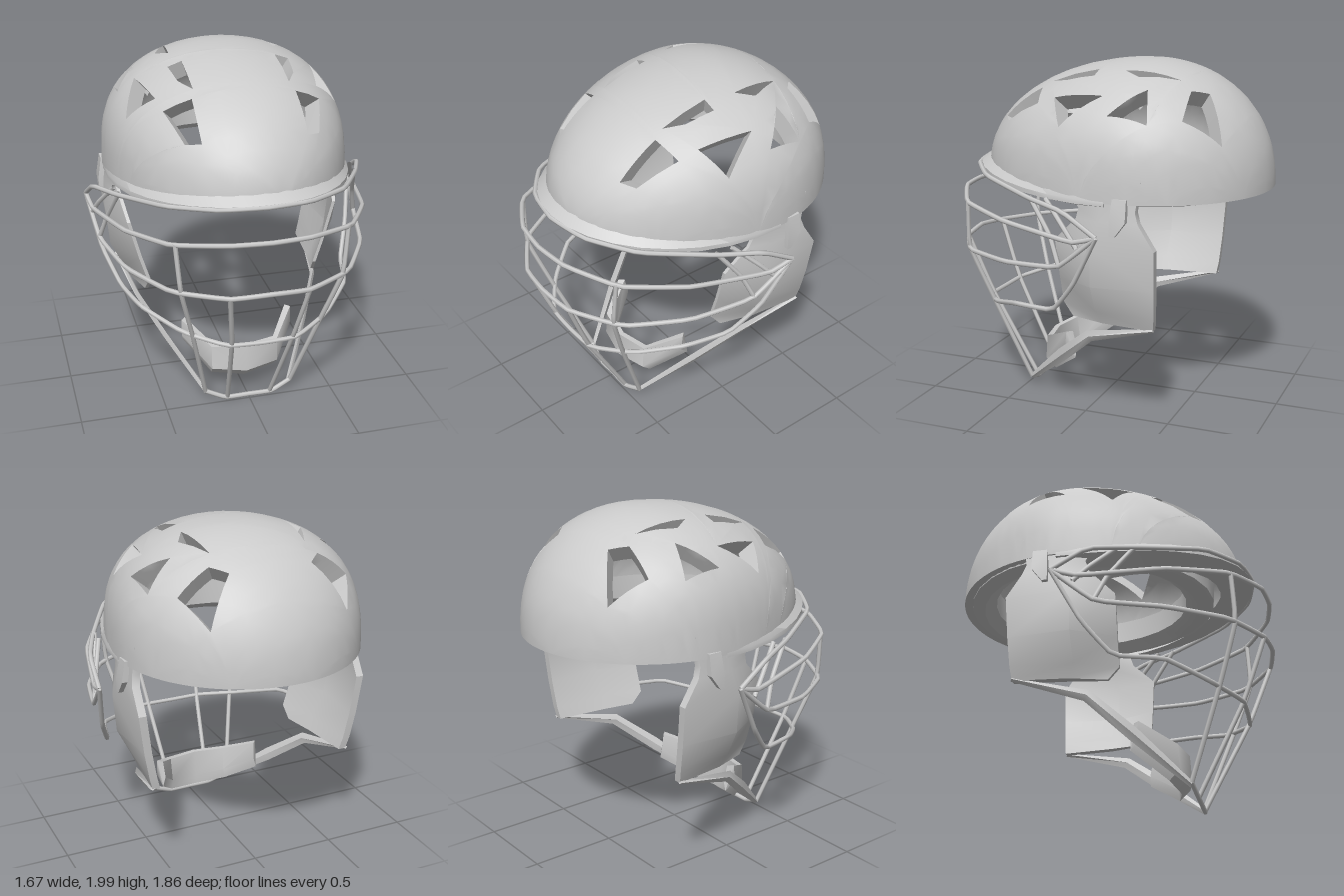
import * as THREE from 'three';
import { toCreasedNormals } from 'three/addons/utils/BufferGeometryUtils.js';

const grey = new THREE.MeshStandardMaterial({ color: 0xcccccc, side: THREE.DoubleSide });
const ZC = -0.2, HALF_W = 0.71, FRONT = 0.97, BACK = 0.73, DEPTH = 0.1;

function mesh(geometry, name, crease) {
  const m = new THREE.Mesh(toCreasedNormals(geometry, crease), grey);
  m.name = name;
  return m;
}

// Skin through closed cross-sections of equal length, with flat end caps
function loft(rows, name, crease, ring = false) {
  const n = rows[0].length, pos = rows.flat(2), index = [];
  const last = ring ? rows.length : rows.length - 1;
  for (let i = 0; i < last; i++) {
    const a = i * n, b = ((i + 1) % rows.length) * n;
    for (let j = 0; j < n; j++) {
      const k = (j + 1) % n;
      index.push(a + j, b + j, b + k, a + j, b + k, a + k);
    }
  }
  if (!ring) {
    const e = last * n;
    for (let j = 1; j < n - 1; j++) index.push(0, j, j + 1, e, e + j + 1, e + j);
  }
  const g = new THREE.BufferGeometry();
  g.setAttribute('position', new THREE.Float32BufferAttribute(pos, 3));
  g.setIndex(index);
  return mesh(g, name, crease);
}

// Split the longest edge of each triangle until all are short
function subdivide(geometry, max) {
  const p = geometry.attributes.position, out = [], stack = [];
  const v = (i) => new THREE.Vector3().fromBufferAttribute(p, i);
  for (let i = 0; i < p.count; i += 3) stack.push([v(i), v(i + 1), v(i + 2)]);
  while (stack.length) {
    const t = stack.pop();
    const len = t.map((q, i) => q.distanceTo(t[(i + 1) % 3]));
    const k = len.indexOf(Math.max(...len));
    if (len[k] <= max) { out.push(...t); continue; }
    const a = t[k], b = t[(k + 1) % 3], c = t[(k + 2) % 3];
    const m = a.clone().add(b).multiplyScalar(0.5);
    stack.push([a, m, c], [m, b, c]);
  }
  return out;
}

const rimY = (c) => 1.29 + 0.09 * Math.max(0, c) ** 2;

// Wrap a flat disk point (radius 1 = rim) onto the dome: full at the sides, sloping at front and back
function wrap(p) {
  const r = Math.min(1, Math.hypot(p.x, p.y)), d = p.z / DEPTH;
  const s = r ? p.x / r : 0, c = r ? p.y / r : 0;
  const e = Math.sin(r * Math.PI / 2) * (1 - 0.13 * d);
  const rim = rimY(c), power = 0.68 + (c > 0 ? 0.34 : 0.24) * c * c;
  const h = Math.max(0, Math.cos(r * Math.PI / 2)) ** power;
  return new THREE.Vector3(HALF_W * e * s, rim + (2 - 0.1 * d - rim) * h,
    ZC + e * c * (c > 0 ? FRONT : BACK));
}

// Inverse of the wrap, from plan position to disk
function toDisk([x, z], side) {
  const u = x / HALF_W, w = (z - ZC) / (z > ZC ? FRONT : BACK), e = Math.hypot(u, w);
  const t = Math.asin(Math.min(0.99, e)) * 2 / Math.PI;
  return new THREE.Vector2(side * t * u / e, t * w / e);
}

// Vent outlines in plan (x, z), mirrored to both sides
const vents = [
  [[0.24, -0.63], [0.40, -0.75], [0.5, -0.56], [0.32, -0.55]],
  [[0.28, -0.48], [0.37, -0.27], [0.31, -0.17]],
  [[0.45, -0.35], [0.6, -0.4], [0.61, -0.18]],
  [[0.27, 0], [0.35, 0], [0.33, 0.17], [0.27, 0.28]],
  [[0.52, -0.12], [0.61, 0.1], [0.46, 0.19]],
  [[0.29, 0.34], [0.44, 0.3], [0.37, 0.52], [0.29, 0.57]],
];

function shell() {
  const disk = new THREE.Shape().absarc(0, 0, 1, 0, Math.PI * 2);
  for (const side of [-1, 1]) {
    for (const v of vents) disk.holes.push(new THREE.Path(v.map((p) => toDisk(p, side))));
  }
  const flat = new THREE.ExtrudeGeometry(disk, { depth: DEPTH, bevelEnabled: false, curveSegments: 40 });
  const g = new THREE.BufferGeometry().setFromPoints(subdivide(flat, 0.11).map(wrap));
  return mesh(g, 'helmetShell', 0.9);
}

// Broad padded band inside the rim
function liner() {
  const rows = [];
  for (let i = 0; i < 28; i++) {
    const a = i / 28 * Math.PI * 2, s = Math.sin(a), c = Math.cos(a);
    const at = (k, y) => [0.68 * k * s, y, ZC + c * k * (c > 0 ? 0.8 : 0.69)];
    rows.push([at(1, 1.4), at(0.99, 1.285), at(0.88, 1.26), at(0.78, 1.31), at(0.78, 1.45)]);
  }
  return loft(rows, 'linerPad', 0.9, true);
}

// Lip along the front half of the rim
function brim() {
  const rows = [];
  for (let i = 0; i <= 18; i++) {
    const a = (i / 18 - 0.5) * Math.PI, s = Math.sin(a), c = Math.cos(a);
    const k = 1 + 0.06 * Math.max(0, c), y = rimY(c);
    const at = (f, h) => [HALF_W * f * s, y + h, ZC + FRONT * f * c];
    rows.push([at(0.97, 0.07), at(k, 0.01), at(k, -0.015), at(0.86, -0.05)]);
  }
  return loft(rows, 'brim', 0.6);
}

// Bent plate over each ear, columns front / middle / back
function earGuard(side) {
  const levels = [ // y, front z, back z, front x, middle x, back x
    [1.42, 0.08, -0.4, 0.67, 0.695, 0.68],
    [1.25, -0.04, -0.37, 0.67, 0.7, 0.69],
    [1.19, -0.02, -0.39, 0.66, 0.71, 0.70],
    [1.05, 0.12, -0.48, 0.63, 0.72, 0.70],
    [0.82, 0.12, -0.47, 0.57, 0.70, 0.67],
    [0.66, 0.12, -0.46, 0.52, 0.62, 0.64],
    [0.585, 0.06, -0.45, 0.53, 0.59, 0.62],
  ];
  const rows = levels.map(([y, zf, zb, xf, xm, xb]) => {
    const zm = zf * 0.6 + zb * 0.4, t = 0.045;
    return [[xf, zf], [xm, zm], [xb, zb], [xb - t, zb], [xm - t, zm], [xf - 0.02, zf]]
      .map(([x, z]) => [side * x, y, z]);
  });
  return loft(rows, side > 0 ? 'leftEarGuard' : 'rightEarGuard', 0.6);
}

function chinCup() {
  const half = [[0.34, 0.41, 0.25, 0.19], [0.2, 0.315, 0.11, 0.38], [0, 0.31, 0.09, 0.42]]; // x, top, bottom, z
  const all = [...half, ...half.slice(0, 2).reverse().map(([x, ...r]) => [-x, ...r])];
  const rows = all.map(([x, top, low, z]) => [
    [x, top, z], [x, low + 0.06, z + 0.01], [x * 0.95, low, z - 0.05],
    [x * 0.9, low + 0.06, z - 0.05], [x * 0.92, top, z - 0.03],
  ]);
  return loft(rows, 'chinCup', 0.8);
}

function rod(points, name) {
  const curve = new THREE.CatmullRomCurve3(points.map((p) => new THREE.Vector3(...p)), false, 'catmullrom', 0.15);
  const m = new THREE.Mesh(new THREE.TubeGeometry(curve, points.length * 4, 0.014, 6), grey);
  m.name = name;
  return m;
}

const flip = ([x, y, z]) => [-x, y, z];

function cage() {
  const g = new THREE.Group();
  g.name = 'faceCage';
  const hinge = [0.82, 1.13, -0.2];
  // Crossbars, listed from the centre out to the left hinge
  const bars = {
    browBar: [[0, 1.38, 0.83], [0.25, 1.37, 0.78], [0.5, 1.345, 0.6], [0.7, 1.285, 0.24], [0.8, 1.25, 0], hinge],
    upperBar: [[0, 1.22, 0.92], [0.22, 1.215, 0.89], [0.5, 1.18, 0.73], [0.69, 1.14, 0.4], [0.8, 1.09, -0.05], hinge],
    middleBar: [[0, 0.92, 0.92], [0.22, 0.905, 0.89], [0.5, 0.9, 0.72], [0.69, 0.91, 0.4], [0.78, 0.94, 0.04], hinge],
    lowerBar: [[0, 0.535, 0.76], [0.2, 0.54, 0.75], [0.42, 0.575, 0.6], [0.61, 0.645, 0.38], [0.68, 0.66, 0.12], [0.76, 0.84, -0.04], hinge],
    chinBar: [[0, 0.02, 0.48], [0.14, 0.02, 0.48], [0.26, 0.07, 0.46]],
  };
  for (const [name, pts] of Object.entries(bars)) {
    g.add(rod([...pts.slice(1).reverse().map(flip), ...pts], name));
  }
  // Uprights and side struts, one per side
  const uprights = {
    innerUpright: [[0.22, 0.905, 0.89], [0.175, 0.54, 0.75], [0.13, 0.025, 0.48]],
    outerUpright: [[0.48, 1.19, 0.74], [0.455, 0.9, 0.75], [0.37, 0.56, 0.64], [0.26, 0.07, 0.46]],
    sideStrut: [[0.69, 1.29, 0.24], [0.74, 1.1, 0.1], [0.78, 0.94, 0.03]],
    rearStrut: [[0.7, 1.29, 0.14], [0.77, 1.15, 0], [0.8, 1.06, -0.08]],
  };
  for (const [name, pts] of Object.entries(uprights)) {
    g.add(rod(pts, name), rod(pts.map(flip), name));
  }
  return g;
}

// Flat strap from the foot of the ear guard to the chin bar
function chinStrap(side) {
  const path = [[0.62, 0.59, -0.45, 0.01], [0.56, 0.49, -0.05, 0.03], [0.43, 0.3, 0.18, 0.035], [0.25, 0.06, 0.46, 0.015]]; // x, y, z, half width
  const rows = path.map(([x, y, z, w]) => [[0, 1], [0.015, 0], [0, -1], [-0.015, 0]]
    .map(([dx, k]) => [side * (x + dx), y + k * w, z + k * w * 0.5]));
  return loft(rows, side > 0 ? 'leftChinStrap' : 'rightChinStrap', 0.5);
}

// Clip joining the cage to the shell
function hingeClip(side) {
  const rows = [[1.32, -0.25, -0.33, 0.715], [1.2, -0.24, -0.33, 0.735], [1.12, -0.24, -0.27, 0.735]]
    .map(([y, zf, zb, x]) => [[x, zf], [x, zb], [0.67, zb], [0.67, zf]].map(([a, z]) => [side * a, y, z]));
  return loft(rows, side > 0 ? 'leftHingeClip' : 'rightHingeClip', 0.5);
}

export function createModel() {
  const model = new THREE.Group();
  model.name = 'catcherHelmet';
  model.add(shell(), liner(), brim(), chinCup(), cage());
  for (const side of [-1, 1]) model.add(earGuard(side), chinStrap(side), hingeClip(side));
  return model;
}
